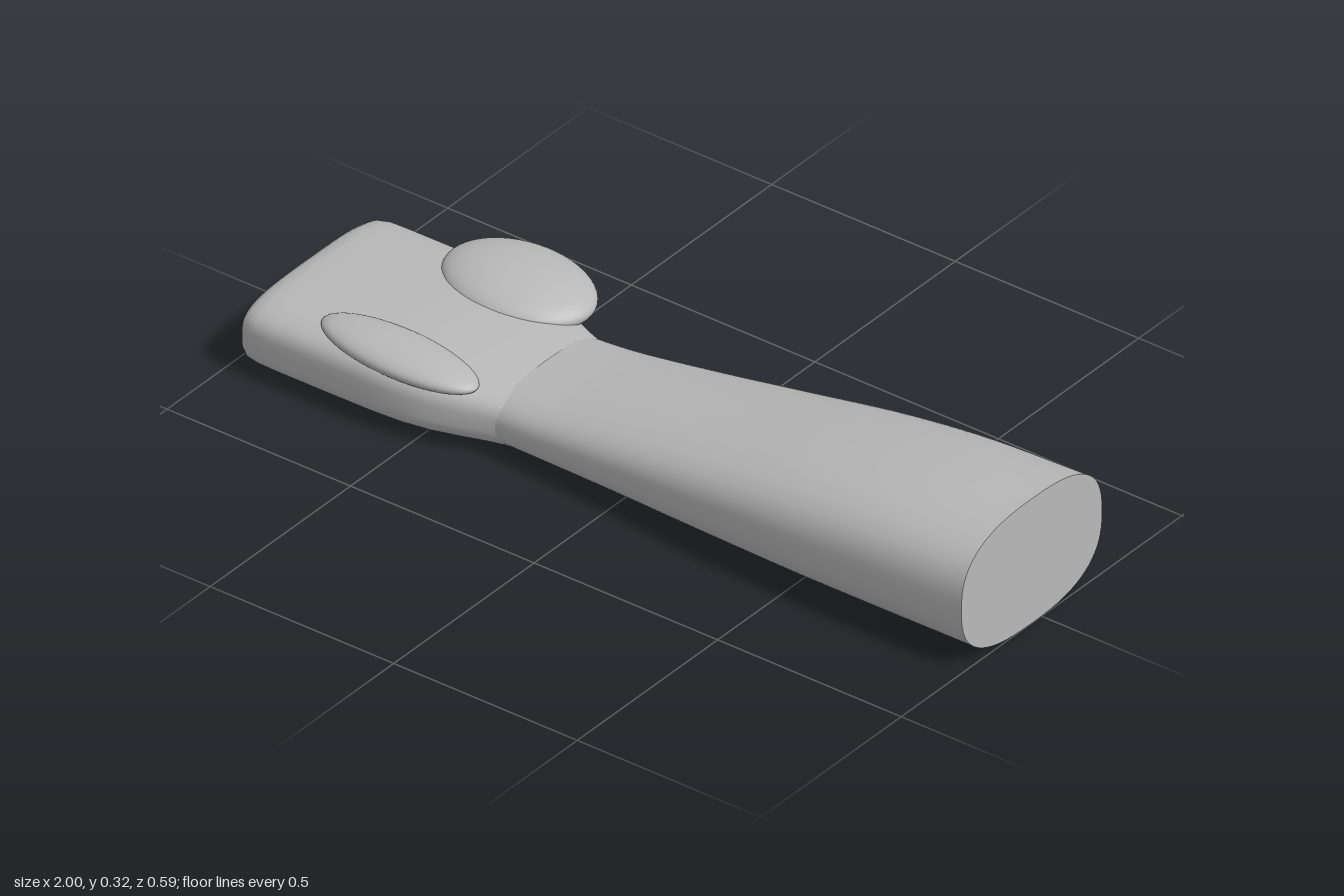
import * as THREE from 'three';

const SEG = 72;
const MID_Z = 0.035;

// Smooth loft along x through rounded-box sections standing on the ground.
// Each station: [x, bottom, top, halfWidth, squareness]
function loft(stations, tipLeft) {
  const pos = [], idx = [];
  const point = ([x, lo, hi, w, n], j) => {
    const a = (j / SEG) * Math.PI * 2, c = Math.cos(a), s = Math.sin(a);
    const bend = (v) => Math.sign(v) * Math.pow(Math.abs(v), 2 / n);
    pos.push(x, (lo + hi) / 2 + bend(s) * (hi - lo) / 2, MID_Z + bend(c) * w);
  };
  stations.forEach((st, i) => {
    for (let j = 0; j < SEG; j++) {
      point(st, j);
      if (i === 0) continue;
      const k = (j + 1) % SEG, a = (i - 1) * SEG, b = i * SEG;
      idx.push(a + j, b + j, b + k, a + j, b + k, a + k);
    }
  });
  // End caps with their own vertices, so the rims stay sharp
  const cap = (st, tipX, right) => {
    const c = pos.length / 3;
    pos.push(tipX, (st[1] + st[2]) / 2, MID_Z);
    for (let j = 0; j < SEG; j++) point(st, j);
    for (let j = 0; j < SEG; j++) {
      const p = c + 1 + j, q = c + 1 + ((j + 1) % SEG);
      if (right) idx.push(c, q, p); else idx.push(c, p, q);
    }
  };
  cap(stations[0], tipLeft, false);
  const last = stations[stations.length - 1];
  cap(last, last[0], true);
  const g = new THREE.BufferGeometry();
  g.setAttribute('position', new THREE.Float32BufferAttribute(pos, 3));
  g.setIndex(idx);
  g.computeVertexNormals();
  return g;
}

// Resample sparse key stations into a smooth run
function smoothStations(keys, count) {
  const main = new THREE.CatmullRomCurve3(keys.map((k) => new THREE.Vector3(k[0], k[2], k[3])));
  return Array.from({ length: count + 1 }, (_, i) => {
    const p = main.getPoint(i / count);
    return [p.x, 0, p.y, p.z, keys[0][4]];
  });
}

export function createModel() {
  const group = new THREE.Group();
  const grey = new THREE.MeshStandardMaterial({ color: 0xb8b8b8 });
  grey.name = 'grey';
  const add = (name, geometry) => {
    const mesh = new THREE.Mesh(geometry, grey);
    mesh.name = name;
    group.add(mesh);
    return mesh;
  };

  // Forearm, widening from the wrist to a flat cut end
  const n = 2.65;
  add('forearm', loft(smoothStations([
    [-0.32, 0, 0.157, 0.188, n],
    [-0.2, 0, 0.167, 0.193, n],
    [0, 0, 0.197, 0.206, n],
    [0.25, 0, 0.238, 0.226, n],
    [0.5, 0, 0.28, 0.244, n],
    [0.73, 0, 0.308, 0.2505, n],
    [1, 0, 0.322, 0.2505, n],
  ], 32), -0.32));

  // Flat hand with a rounded front rim and a shallow pointed end
  add('hand', loft([
    [-0.975, 0.022, 0.145, 0.225, 3.6],
    [-0.968, 0.01, 0.162, 0.24, 3.6],
    [-0.952, 0.003, 0.172, 0.251, 3.6],
    [-0.925, 0.001, 0.177, 0.256, 3.6],
    [-0.88, 0, 0.178, 0.257, 3.6],
    [-0.75, 0, 0.179, 0.257, 3.6],
    [-0.62, 0, 0.179, 0.257, 3.5],
    [-0.54, 0, 0.177, 0.253, 3.4],
    [-0.47, 0, 0.172, 0.24, 3.3],
    [-0.4, 0, 0.165, 0.216, 3.2],
    [-0.35, 0, 0.158, 0.197, 3.1],
    [-0.305, 0, 0.153, 0.184, 3],
  ], -1));

  // Oval pads on the upper face: [name, centre, radii, tilt]
  const pads = [
    ['thumbPad', [-0.543, 0.162, -0.158], [0.186, 0.051, 0.139], -0.06],
    ['sidePad', [-0.583, 0.161, 0.215], [0.208, 0.034, 0.077], -0.05],
  ];
  for (const [name, centre, radii, tilt] of pads) {
    const pad = add(name, new THREE.SphereGeometry(1, 48, 32));
    pad.position.set(...centre);
    pad.scale.set(...radii);
    pad.rotation.z = tilt;
  }
  return group;
}
